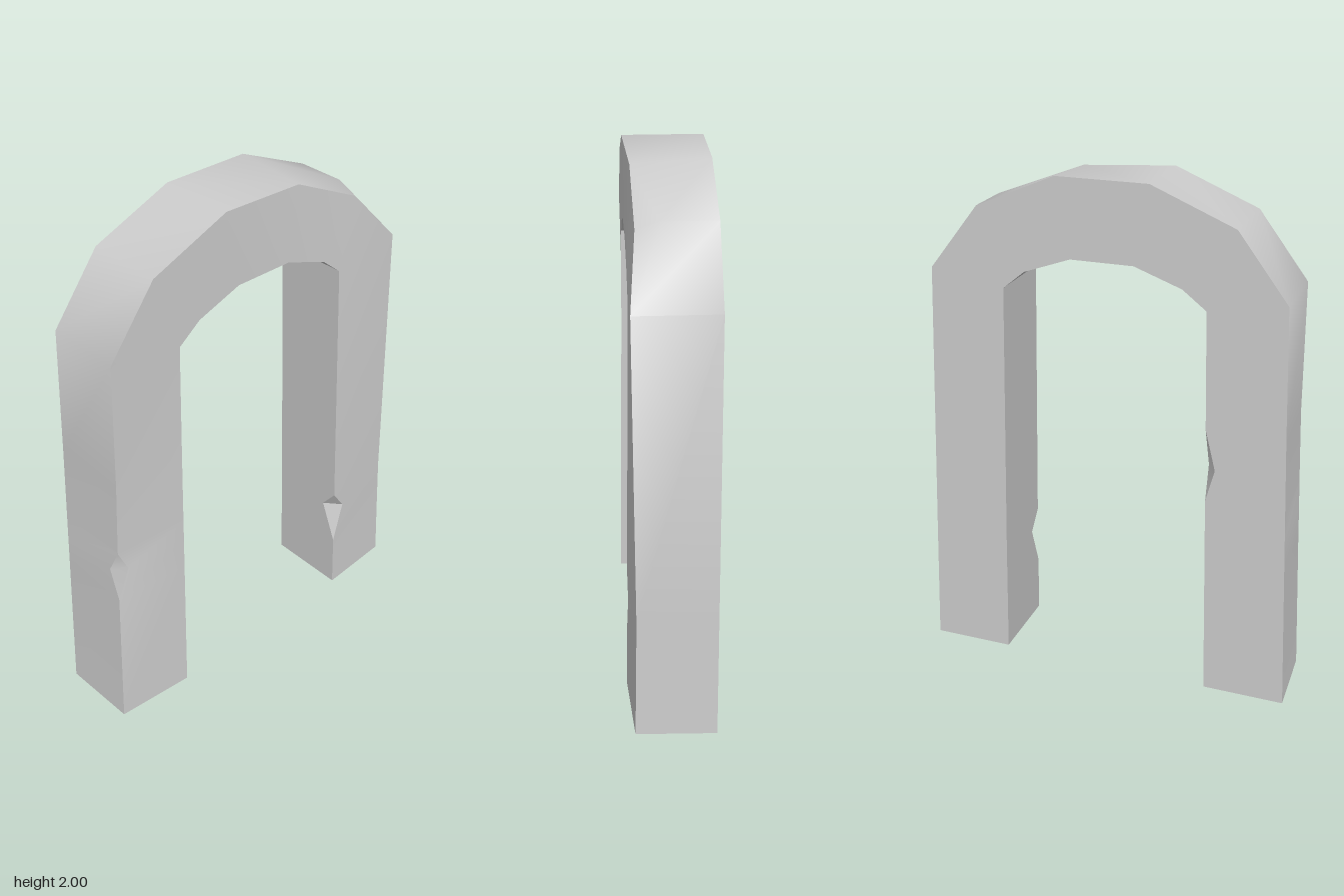
import * as THREE from 'three';
import { toCreasedNormals } from 'three/addons/utils/BufferGeometryUtils.js';

const LEFT = 0.138, RIGHT = -0.163;

// Crown stations: inner z, inner y, outer z, outer y
const crown = [
  [0.39, 1.57, 0.68, 1.62], [0.30, 1.64, 0.49, 1.87], [0.12, 1.705, 0.175, 2],
  [-0.12, 1.705, -0.175, 2], [-0.30, 1.64, -0.48, 1.87], [-0.385, 1.57, -0.675, 1.62],
];

// Legs splay slightly towards the feet
function legStation(y, side) {
  const t = y / 1.6;
  return [side * (0.425 - 0.035 * t), y, side * (0.745 - 0.067 * t), y];
}

// Each corner is a pair of points, coincident except where a chip cuts the edge
function makeRing([iz, iy, oz, oy], chips = {}) {
  const low = Math.max(0, 1 - iy / 1.5);
  const inset = oy < 1.7 ? 0.011 * Math.sign(oz) * Math.min(1, (1.62 - oy) * 2) : 0;
  const corners = [
    [LEFT - 0.01 * Math.sin(Math.PI * Math.min(1, oy / 1.62)), oy, oz - inset],
    [LEFT + 0.022 * low, iy, iz],
    [RIGHT, iy, iz],
    [RIGHT, oy, oz],
  ];
  return corners.flatMap((c, k) => chips[k] || [c, c]).map((p) => new THREE.Vector3(...p));
}

function archGeometry() {
  const rings = [
    makeRing(legStation(0, 1)),
    makeRing(legStation(0.6, 1)),
    // chip on the outer edge of the front leg
    makeRing(legStation(0.73, 1), { 0: [[0.09, 0.73, 0.712], [0.132, 0.73, 0.66]] }),
    makeRing(legStation(0.82, 1)),
    // chip on the inner edge of the front leg
    makeRing(legStation(0.83, 1)),
    makeRing(legStation(0.96, 1), { 2: [[-0.115, 0.96, 0.404], [RIGHT, 0.96, 0.44]] }),
    makeRing(legStation(1.12, 1)),
    ...crown.map((s, i) => makeRing(s, {
      // large broken corner at the back of the crown
      3: { 0: [[0.12, 1.98, -0.175], [0.12, 1.98, -0.175]] },
      4: { 0: [[0.03, 1.87, -0.48], [0.115, 1.84, -0.47]] },
    }[i])),
    makeRing(legStation(0.49, -1)),
    // chip on the inner edge of the back leg
    makeRing(legStation(0.41, -1), { 1: [[0.152, 0.41, -0.47], [0.09, 0.41, -0.416]] }),
    makeRing(legStation(0.24, -1)),
    makeRing(legStation(0, -1)),
  ];

  const positions = [];
  const area = new THREE.Triangle();
  const tri = (a, b, c) => {
    if (area.set(a, b, c).getArea() < 1e-7) return;
    for (const p of [a, b, c]) positions.push(p.x, p.y, p.z);
  };

  // Skin between neighbouring rings
  for (let i = 0; i < rings.length - 1; i++) {
    const r = rings[i], s = rings[i + 1];
    for (let j = 0; j < 8; j++) {
      const k = (j + 1) % 8;
      tri(r[j], r[k], s[k]);
      tri(r[j], s[k], s[j]);
    }
  }

  // Soles of the feet
  const first = rings[0], last = rings[rings.length - 1];
  for (let j = 1; j < 7; j++) {
    tri(first[0], first[j + 1], first[j]);
    tri(last[0], last[j], last[j + 1]);
  }

  const geometry = new THREE.BufferGeometry();
  geometry.setAttribute('position', new THREE.Float32BufferAttribute(positions, 3));
  return toCreasedNormals(geometry, 0.65);
}

export function createModel() {
  const group = new THREE.Group();
  group.name = 'stoneArch';
  const arch = new THREE.Mesh(archGeometry(), new THREE.MeshStandardMaterial({ color: 0xcccccc }));
  arch.name = 'chippedArch';
  group.add(arch);
  return group;
}
